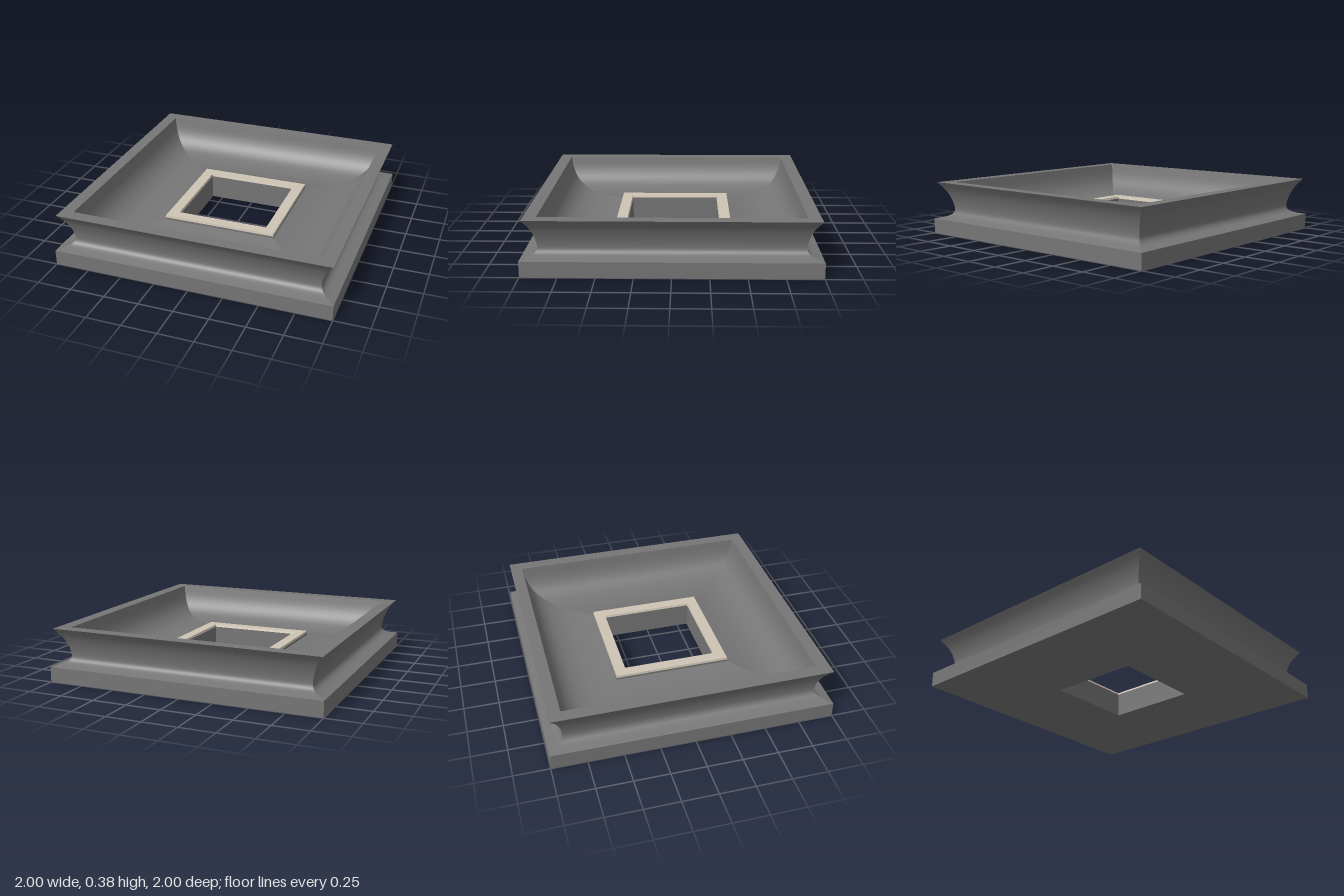
import * as THREE from 'three';

const stone = new THREE.MeshStandardMaterial({ color: 0x767676 });
stone.name = 'grey stone';
const cream = new THREE.MeshStandardMaterial({ color: 0xcfc4b4 });
cream.name = 'cream trim';

// Smooth run through a few profile points, each [distance from the axis, height]
function smooth(points, steps = 24) {
  return new THREE.SplineCurve(points.map(([d, y]) => new THREE.Vector2(d, y)))
    .getPoints(steps)
    .map((p) => [p.x, p.y]);
}

// Carries a profile run round a square with mitred corners.
// Runs go down the outside, in underneath, up the hole and out over the top.
function squareSweep(name, run, material) {
  const group = new THREE.Group();
  group.name = name;
  const side = new THREE.PlaneGeometry(2, 1, 1, run.length - 1);
  const pos = side.attributes.position;
  for (let i = 0; i < pos.count; i++) {
    const [d, y] = run[Math.floor(i / 2)];
    pos.setXYZ(i, pos.getX(i) * d, y, d);
  }
  side.computeVertexNormals();
  for (let i = 0; i < 4; i++) {
    const mesh = new THREE.Mesh(side, material);
    mesh.name = name + 'Side';
    mesh.rotation.y = (i * Math.PI) / 2;
    group.add(mesh);
  }
  return group;
}

export function createModel() {
  const model = new THREE.Group();
  model.name = 'squareBasin';

  // Outer cove flaring from the plinth up to the rim
  const cove = smooth([
    [0.98, 0.382], [0.935, 0.32], [0.905, 0.25], [0.892, 0.185],
    [0.9, 0.15], [0.93, 0.128], [1, 0.11],
  ]);
  // Hollow basin: steep wall, low floor, slight rise to the collar
  const basin = smooth([
    [0.415, 0.165], [0.54, 0.14], [0.66, 0.135], [0.76, 0.16],
    [0.83, 0.215], [0.87, 0.29], [0.89, 0.382],
  ]);

  const parts = [
    ['cove', cove, stone],
    ['plinth', [[1, 0.11], [1, 0]], stone],
    ['underside', [[1, 0], [0.33, 0]], stone],
    ['holeWall', [[0.33, 0], [0.33, 0.18]], stone],
    ['basin', basin, stone],
    ['rim', [[0.89, 0.382], [0.98, 0.382]], stone],
    // Raised collar round the hole, capped by a pale frame
    ['collar', [[0.415, 0.18], [0.415, 0.16]], stone],
    ['frameInner', [[0.33, 0.18], [0.335, 0.196]], cream],
    ['frameTop', [[0.335, 0.196], [0.412, 0.196]], cream],
    ['frameOuter', [[0.412, 0.196], [0.415, 0.18]], cream],
  ];
  for (const [name, run, material] of parts) model.add(squareSweep(name, run, material));
  return model;
}
